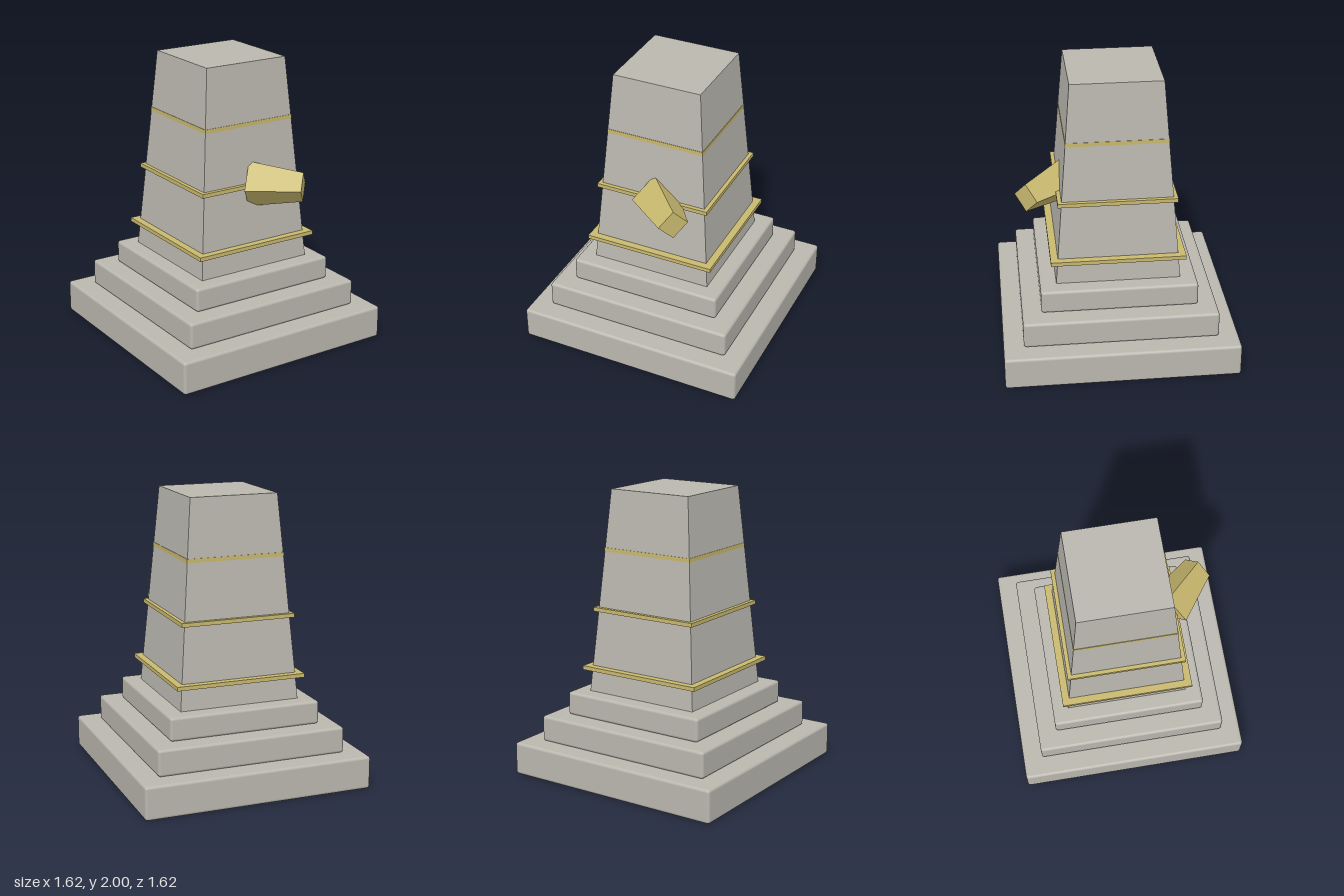
import * as THREE from 'three';
import { RoundedBoxGeometry } from 'three/addons/geometries/RoundedBoxGeometry.js';

export function createModel() {
  const model = new THREE.Group();
  model.name = 'monument';
  const stone = new THREE.MeshStandardMaterial({ name: 'stone', color: 0xbab7af });
  const gold = new THREE.MeshStandardMaterial({ name: 'gold', color: 0xc8b86e });

  const add = (name, geometry, material, x, y, z) => {
    const mesh = new THREE.Mesh(geometry, material);
    mesh.name = name;
    mesh.position.set(x, y, z);
    model.add(mesh);
    return mesh;
  };

  // Four-sided frustum with flat faces; radii run to the corners
  const frustum = (top, bottom, height) =>
    new THREE.CylinderGeometry(top, bottom, height, 4).toNonIndexed();
  const flat = (geometry) => { geometry.computeVertexNormals(); return geometry; };

  // Stepped plinth with softened edges: [half width, bottom, top]
  [[0.81, 0, 0.232], [0.672, 0.232, 0.417], [0.541, 0.417, 0.582]].forEach(([half, y0, y1], i) => {
    add(`plinthStep${i + 1}`, new RoundedBoxGeometry(half * 2, y1 - y0, half * 2, 2, 0.02),
      stone, 0, (y0 + y1) / 2, 0);
  });

  // Tapered square shaft
  const shaft = flat(frustum(0.312 * Math.SQRT2, 0.429 * Math.SQRT2, 1.42));
  shaft.rotateY(Math.PI / 4);
  add('shaft', shaft, stone, 0, 1.29, 0);

  // Gold bands: [half width, height of centre]
  [[0.464, 0.752], [0.407, 1.168], [0.348, 1.585]].forEach(([half, y], i) => {
    add(`band${i + 1}`, new THREE.BoxGeometry(half * 2, 0.028, half * 2), gold, 0, y, 0);
  });

  // Tapered crystal jutting diagonally out of the front face
  const crystal = flat(frustum(0.103, 0.16, 0.371));
  crystal.rotateX(Math.PI / 2);
  crystal.rotateY(Math.PI / 4);
  add('crystal', crystal, gold, 0.13, 1.167, 0.481);

  return model;
}
